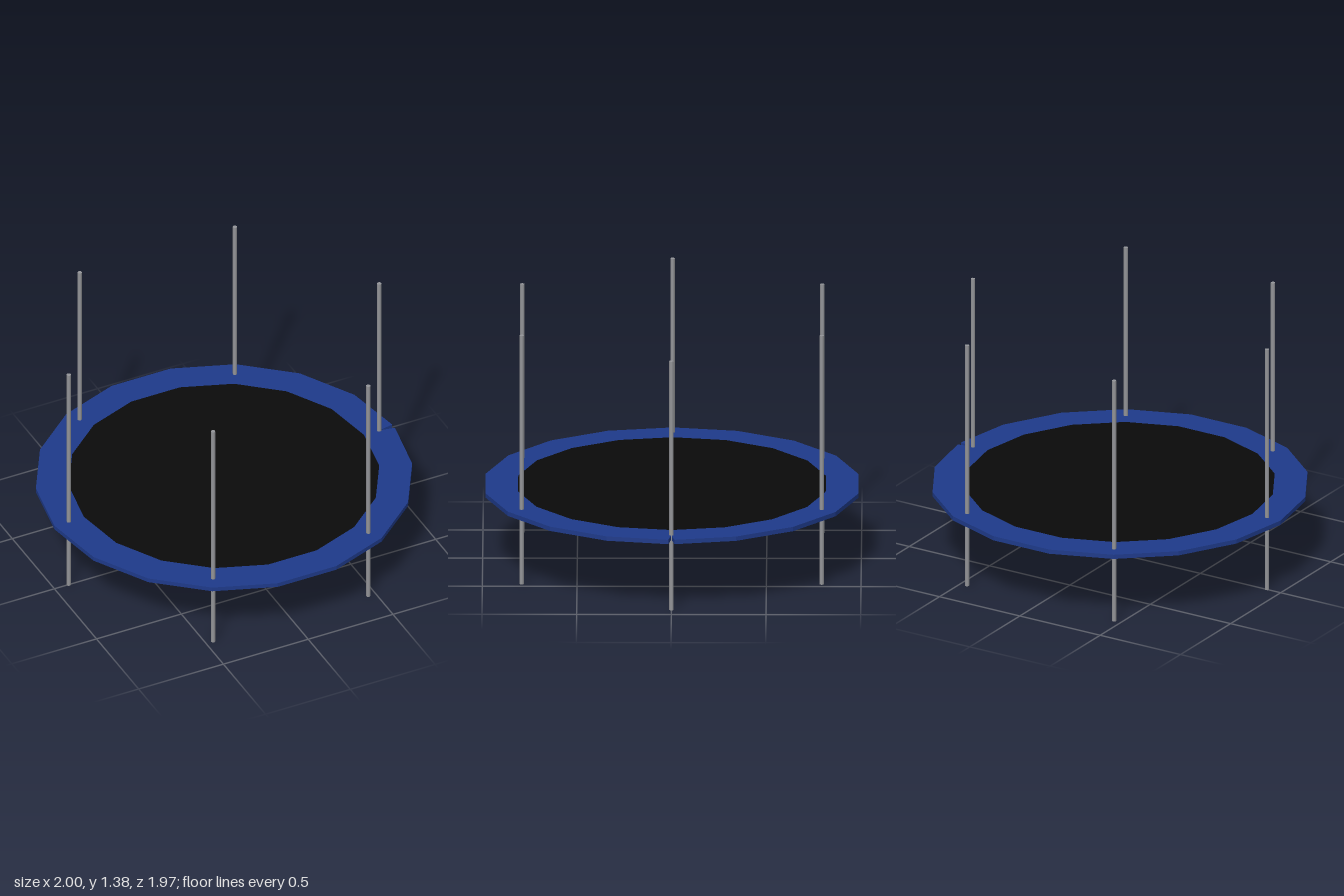
import * as THREE from 'three';

const SIDES = 18, INNER = 0.825, RIM_Y = 0.389, RIM_H = 0.024;
const POSTS = 6, POST_RING = 0.915, POST_R = 0.012, POST_H = 1.375;

const blue = new THREE.MeshStandardMaterial({ name: 'blue pad', color: 0x1e3a8a });
const black = new THREE.MeshStandardMaterial({ name: 'black mat', color: 0x0a0a0a });
const grey = new THREE.MeshStandardMaterial({ name: 'grey steel', color: 0x949599 });

// Corners of a regular polygon, first corner on +x
function corners(radius) {
  return Array.from({ length: SIDES }, (_, i) => {
    const a = (i / SIDES) * Math.PI * 2;
    return new THREE.Vector2(Math.cos(a) * radius, Math.sin(a) * radius);
  });
}

// Flat horizontal slab standing on y = RIM_Y
function slab(shape, material, name) {
  const geometry = new THREE.ExtrudeGeometry(shape, { depth: RIM_H, bevelEnabled: false });
  geometry.rotateX(-Math.PI / 2).translate(0, RIM_Y, 0);
  const mesh = new THREE.Mesh(geometry, material);
  mesh.name = name;
  return mesh;
}

export function createModel() {
  const group = new THREE.Group();
  group.name = 'trampoline';

  // Padded rim with a narrow V-shaped seam on the +x side
  const outline = [
    new THREE.Vector2(POST_RING, 0),
    new THREE.Vector2(1, 0.016),
    ...corners(1).slice(1),
    new THREE.Vector2(1, -0.016),
  ];
  const rim = new THREE.Shape(outline);
  rim.holes.push(new THREE.Path(corners(INNER).reverse()));
  group.add(slab(rim, blue, 'paddedRim'));

  // Jumping mat filling the rim
  group.add(slab(new THREE.Shape(corners(INNER)), black, 'jumpingMat'));

  // Upright poles running from the ground through the rim
  const poleGeometry = new THREE.CylinderGeometry(POST_R, POST_R, POST_H, 8);
  for (let i = 0; i < POSTS; i++) {
    const a = (i / POSTS) * Math.PI * 2;
    const pole = new THREE.Mesh(poleGeometry, grey);
    pole.name = `pole${i + 1}`;
    pole.position.set(Math.cos(a) * POST_RING, POST_H / 2, Math.sin(a) * POST_RING);
    group.add(pole);
  }
  return group;
}
